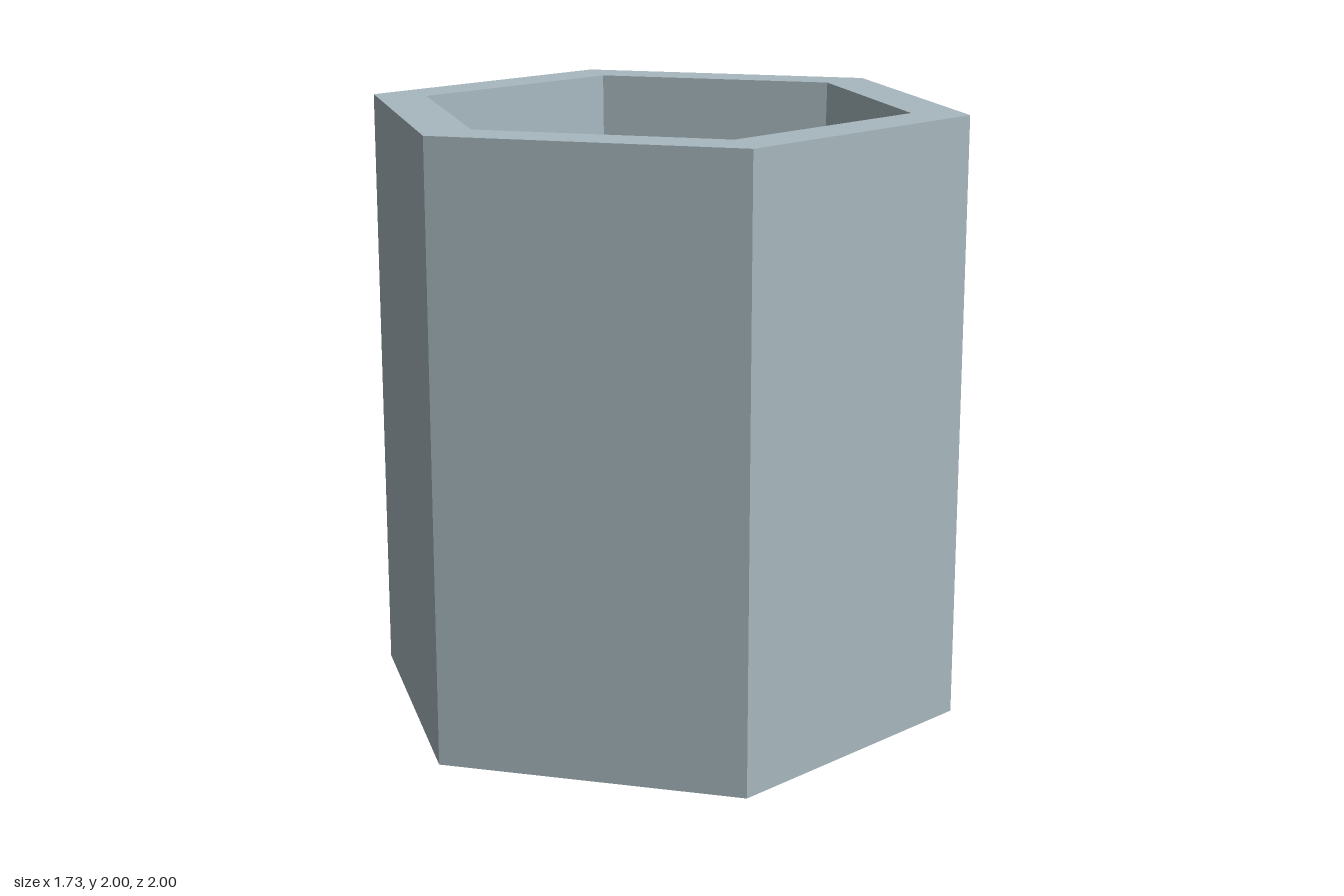
import * as THREE from 'three';

const EYE_RADIUS = 0.255;
const FLOOR = 0.2;
const PUPIL_ANGLE = THREE.MathUtils.degToRad(40);

function material(name, color) {
  const m = new THREE.MeshStandardMaterial({ color });
  m.name = name;
  return m;
}

// Gives every face its own normal for a faceted look
function faceted(geometry) {
  const g = geometry.toNonIndexed();
  g.computeVertexNormals();
  return g;
}

function part(name, geometry, mat) {
  const mesh = new THREE.Mesh(faceted(geometry), mat);
  mesh.name = name;
  return mesh;
}

export function createModel() {
  const model = new THREE.Group();
  model.name = 'cupOfEyes';
  const cupGrey = material('cupGrey', 0xa7b8bf);
  const eyeSkin = material('eyeSkin', 0xc4a297);
  const pupilBlack = material('pupilBlack', 0x060606);

  // Six-sided cup with a slightly tapered hollow
  const profile = [
    [0, 0], [1, 0], [1, 2], [0.813, 2], [0.763, FLOOR], [0, FLOOR],
  ].map(([r, y]) => new THREE.Vector2(r, y));
  model.add(part('cup', new THREE.LatheGeometry(profile, 6), cupGrey));

  // Eyeballs on the cup floor: x, z, gaze direction in plan, tilt from straight up
  const eyes = [
    [-0.015, -0.465, 0.1, 0.03, 33],
    [0.41, -0.03, -0.155, -0.145, 92],
    [-0.385, 0.065, 0.1, 0.125, 55],
    [0.06, 0.39, 0.05, 0.2, 140],
  ];
  const up = new THREE.Vector3(0, 1, 0);
  for (const [x, z, dx, dz, tilt] of eyes) {
    const eye = new THREE.Group();
    eye.name = 'eye';
    eye.add(
      part('eyeball', new THREE.SphereGeometry(EYE_RADIUS, 16, 7, 0, Math.PI * 2,
        PUPIL_ANGLE, Math.PI - PUPIL_ANGLE), eyeSkin),
      part('pupil', new THREE.SphereGeometry(EYE_RADIUS, 16, 3, 0, Math.PI * 2,
        0, PUPIL_ANGLE), pupilBlack),
    );
    const t = THREE.MathUtils.degToRad(tilt);
    const gaze = new THREE.Vector3(dx, 0, dz).normalize().multiplyScalar(Math.sin(t));
    gaze.y = Math.cos(t);
    eye.quaternion.setFromUnitVectors(up, gaze);
    eye.position.set(x, FLOOR + EYE_RADIUS, z);
    model.add(eye);
  }
  return model;
}
